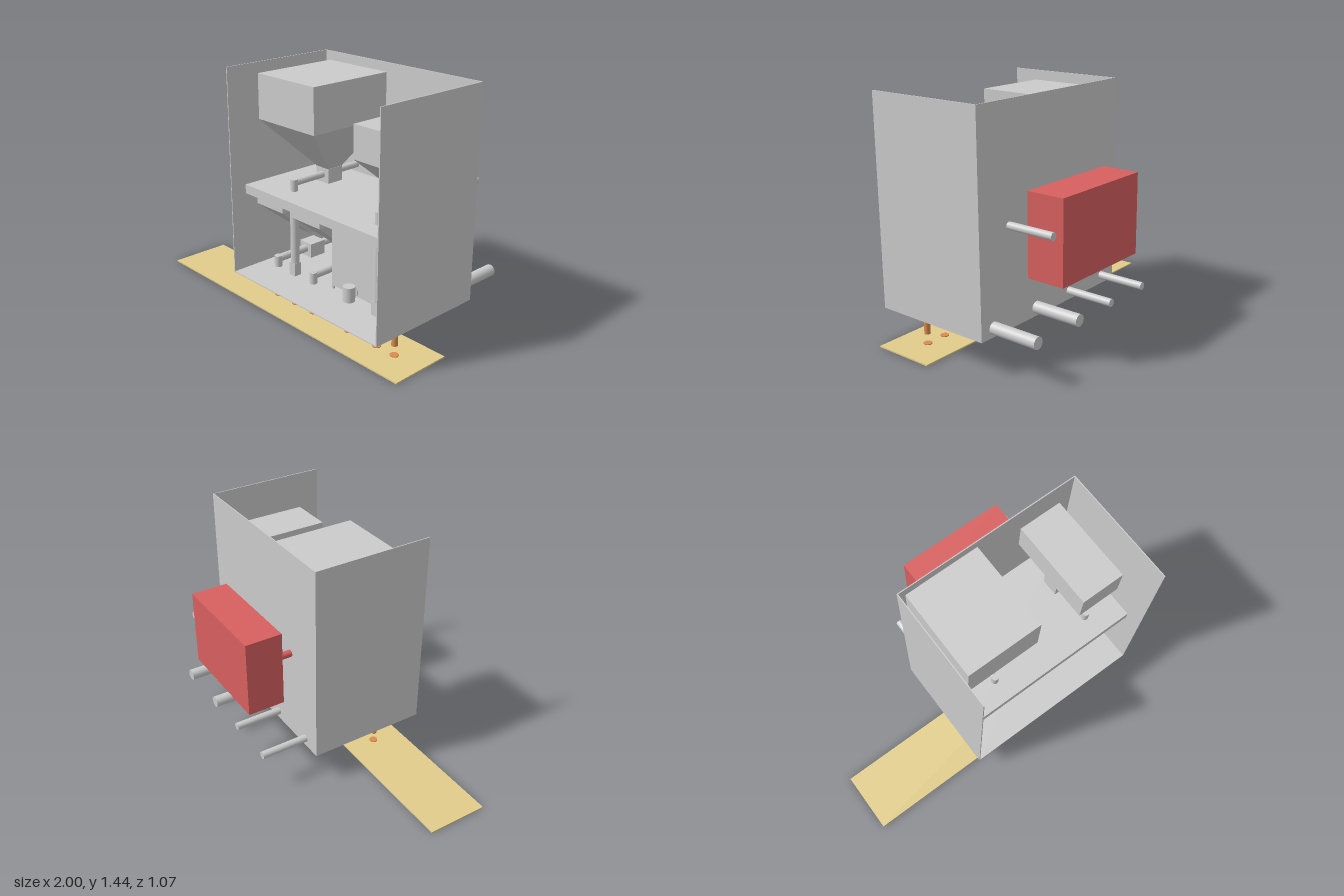
import * as THREE from 'three';

const mat = (color) => new THREE.MeshStandardMaterial({ color });
const grey = mat(0xcccccc), red = mat(0xd85f5f), copper = mat(0xd98c50), yellow = mat(0xe0cc8a);
const OUT_Z = 0.29; // all outlets line up above the belt

export function createModel() {
  const root = new THREE.Group();

  const add = (parent, name, geometry, material = grey) => {
    const mesh = new THREE.Mesh(geometry, material);
    mesh.name = name;
    parent.add(mesh);
    return mesh;
  };
  // box given by its limits on each axis
  const box = (parent, name, [x0, x1], [y0, y1], [z0, z1], material) => {
    const mesh = add(parent, name, new THREE.BoxGeometry(x1 - x0, y1 - y0, z1 - z0), material);
    mesh.position.set((x0 + x1) / 2, (y0 + y1) / 2, (z0 + z1) / 2);
    return mesh;
  };
  const upright = (parent, name, x, y0, y1, r, material) => {
    const mesh = add(parent, name, new THREE.CylinderGeometry(r, r, y1 - y0, 32), material);
    mesh.position.set(x, (y0 + y1) / 2, OUT_Z);
  };
  const along = (parent, name, x, y, z0, z1, r, material) => {
    const mesh = add(parent, name, new THREE.CylinderGeometry(r, r, z1 - z0, 32), material);
    mesh.rotation.x = Math.PI / 2;
    mesh.position.set(x, y, (z0 + z1) / 2);
  };
  // tapered block: rectangle at the top narrowing to a smaller one below
  const funnel = (parent, name, top, bottom, [y0, y1]) => {
    const g = new THREE.BoxGeometry(1, 1, 1), p = g.attributes.position;
    for (let i = 0; i < p.count; i++) {
      const up = p.getY(i) > 0, [xs, zs] = up ? top : bottom;
      p.setXYZ(i, xs[p.getX(i) > 0 ? 1 : 0], up ? y1 : y0, zs[p.getZ(i) > 0 ? 1 : 0]);
    }
    g.computeVertexNormals();
    add(parent, name, g);
  };
  const group = (name) => {
    const g = new THREE.Group();
    g.name = name;
    root.add(g);
    return g;
  };

  // Cabinet, open at the front and the top
  const cabinet = group('cabinet');
  const X = [-0.28, 0.905], Y = [0.195, 1.44], Z = [-0.22, 0.53], t = 0.006;
  box(cabinet, 'floor', X, [Y[0], Y[0] + t], Z);
  box(cabinet, 'backWall', X, Y, [Z[0], Z[0] + t]);
  box(cabinet, 'rightWall', [X[0], X[0] + t], Y, Z);
  box(cabinet, 'leftWall', [X[1] - t, X[1]], Y, Z);
  box(cabinet, 'shelf', [X[0] + t, X[1] - t], [0.675, 0.73], [Z[0] + t, 0.43]);

  // Hoppers: bin, funnel, feeder block, screw tube and outlet
  const binZ = [-0.21, 0.345], neckZ = [-0.04, 0.07];
  const hopper = (name, x, half, neck, yNeck, yRim, yTop, feeder) => {
    const g = group(name);
    const xs = [x - half, x + half];
    box(g, 'bin', xs, [yRim, yTop], binZ);
    funnel(g, 'funnel', [xs, binZ], [[x - neck, x + neck], neckZ], [yNeck, yRim]);
    box(g, 'feederBlock', [x - 0.051, x + 0.051], feeder, neckZ);
    return g;
  };
  for (const [name, x, half, rim, top] of [
    ['largeHopper', 0, 0.236, 1.118, 1.385], ['mediumHopper', 0.677, 0.138, 1.06, 1.25]]) {
    const g = hopper(name, x, half, 0.049, 0.82, rim, top, [0.73, 0.82]);
    along(g, 'screwTube', x, 0.778, -0.22, OUT_Z, 0.02);
    upright(g, 'upperOutlet', x, 0.73, 0.8, 0.022);
    upright(g, 'dropPipe', x, 0.28, 0.68, 0.026);
    box(g, 'dropPipeFoot', [x - 0.024, x + 0.024], [0.2, 0.28], [OUT_Z - 0.024, OUT_Z + 0.024]);
    upright(g, 'nozzle', x, 0.07, 0.21, 0.018, copper);
  }
  for (const [name, x] of [['rightSmallHopper', -0.158], ['leftSmallHopper', 0.16]]) {
    const g = hopper(name, x, 0.117, 0.041, 0.365, 0.59, 0.635, [0.2, 0.29]);
    along(g, 'screwTube', x, 0.25, -0.52, OUT_Z, 0.023);
    upright(g, 'outlet', x, 0.13, 0.27, 0.023);
    upright(g, 'nozzle', x, 0.07, 0.14, 0.017, copper);
  }

  // Tanks on short feet, each with a pump tube and outlet
  for (const [name, x, x0, x1] of [['largeTank', 0.458, 0.283, 0.632], ['smallTank', 0.81, 0.722, 0.897]]) {
    const g = group(name), z = [-0.21, 0.255], f = 0.012;
    box(g, 'tank', [x0, x1], [0.222, 0.64], z);
    for (const fx of [x0, x1 - f]) for (const fz of [z[0], z[1] - f])
      box(g, 'foot', [fx, fx + f], [0.2, 0.222], [fz, fz + f]);
    along(g, 'pumpTube', x, 0.248, -0.52, OUT_Z - 0.03, 0.035);
    upright(g, 'outlet', x, 0.19, 0.29, 0.035);
    upright(g, 'nozzle', x, 0.07, 0.195, 0.018, copper);
  }

  // Drives behind the back wall
  const drives = group('drives');
  box(drives, 'motorHousing', [-0.053, 0.625], [0.488, 0.967], [-0.535, -0.303], red);
  along(drives, 'motorShaft', 0, 0.778, -0.31, -0.22, 0.022, red);
  along(drives, 'screwDrive', 0.677, 0.778, -0.515, -0.22, 0.022);

  // Conveyor belt with a dropped portion under each nozzle
  box(root, 'belt', [-1, 1], [0, 0.008], [0.1, 0.478], yellow);
  for (const x of [-0.158, 0, 0.16, 0.458, 0.677, 0.81])
    upright(root, 'portion', x, 0.007, 0.013, 0.025, copper);

  return root;
}
